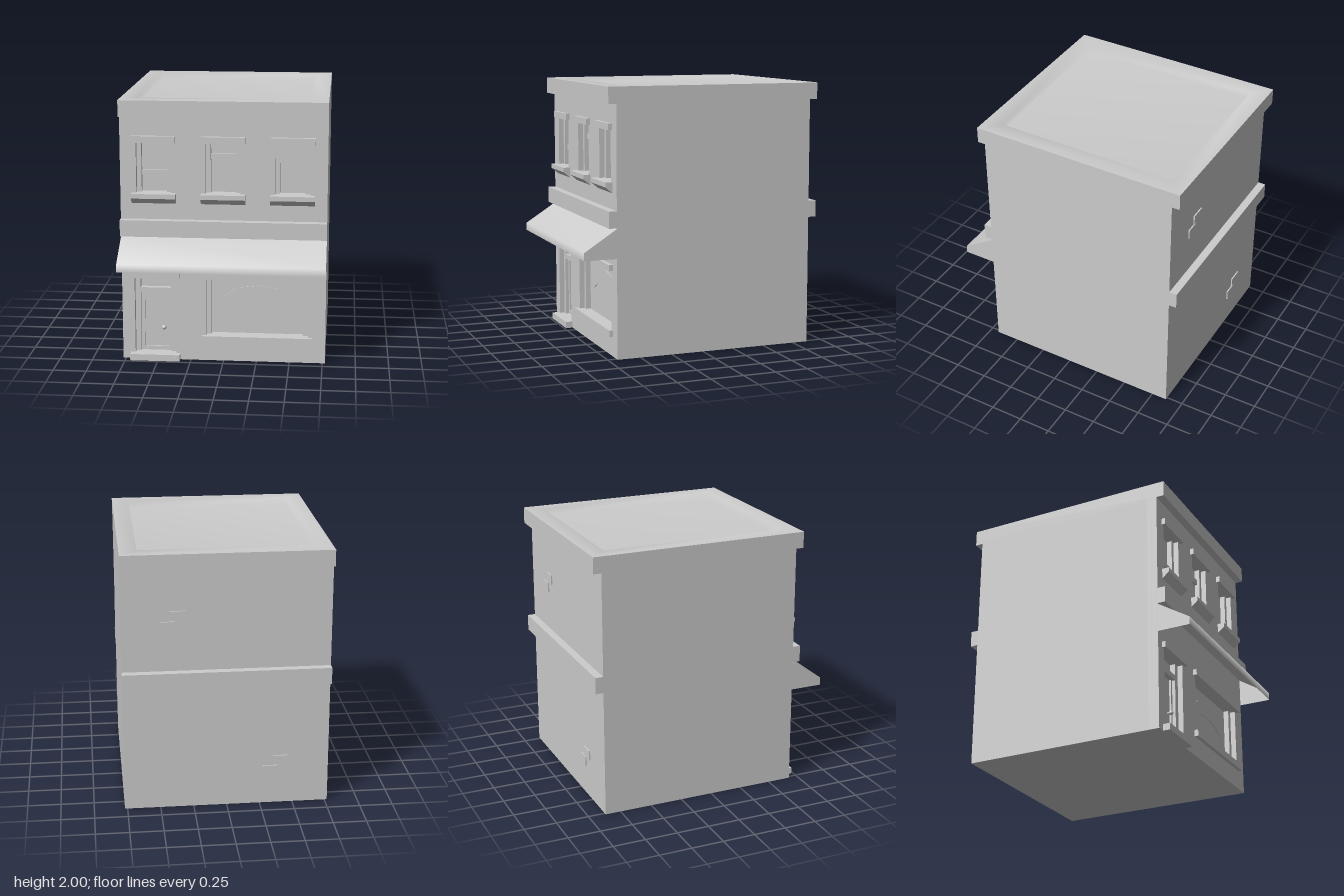
import * as THREE from 'three';

const plaster = new THREE.MeshStandardMaterial({ color: 0xcccccc });
plaster.name = 'light grey plaster';
const shell = new THREE.MeshStandardMaterial({ color: 0xcccccc, side: THREE.DoubleSide });
shell.name = 'light grey plaster';

const W = 0.77, BACK = -0.87, FRONT = 0.68, FRAME = 0.64, GLASS = 0.6;

function rect(PathType, x0, x1, y0, y1) {
  const p = new PathType();
  p.moveTo(x0, y0);
  p.lineTo(x1, y0);
  p.lineTo(x1, y1);
  p.lineTo(x0, y1);
  p.closePath();
  return p;
}

export function createModel() {
  const model = new THREE.Group();
  model.name = 'shopBuilding';

  function add(name, geometry, material = plaster) {
    const mesh = new THREE.Mesh(geometry, material);
    mesh.name = name;
    model.add(mesh);
    return mesh;
  }
  // Box given by its limits on each axis
  function box(name, x0, x1, y0, y1, z0, z1) {
    const mesh = add(name, new THREE.BoxGeometry(x1 - x0, y1 - y0, z1 - z0));
    mesh.position.set((x0 + x1) / 2, (y0 + y1) / 2, (z0 + z1) / 2);
  }
  // Wall layer pierced by rectangular openings
  function piercedWall(name, z0, z1, openings) {
    const shape = rect(THREE.Shape, -W, W, 0, 1.9);
    openings.forEach((o) => shape.holes.push(rect(THREE.Path, ...o)));
    const g = new THREE.ExtrudeGeometry(shape, { depth: z1 - z0, bevelEnabled: false });
    add(name, g.translate(0, 0, z0));
  }
  // Smooth indexed surface
  function surface(name, points, index, material) {
    const g = new THREE.BufferGeometry();
    g.setAttribute('position', new THREE.Float32BufferAttribute(points.flat(), 3));
    g.setIndex(index);
    g.computeVertexNormals();
    return add(name, g, material);
  }
  // (z, y) profile swept along x
  function sweepX(name, profile, x0, x1) {
    const shape = new THREE.Shape(profile.map(([z, y]) => new THREE.Vector2(-z, y)));
    const g = new THREE.ExtrudeGeometry(shape, { depth: x1 - x0, bevelEnabled: false });
    add(name, g.rotateY(Math.PI / 2).translate(x0, 0, 0));
  }

  // Main block and the two stepped layers of the facade
  const windows = [-0.52, -0.002, 0.512];
  box('buildingBlock', -W, W, 0, 1.9, BACK, GLASS);
  piercedWall('frontWall', FRAME, FRONT, [
    ...windows.map((x) => [x - 0.13, x + 0.13, 1.3, 1.68]),
    [-0.675, -0.36, 0.05, 0.645],
    [-0.13, 0.64, 0.2, 0.645],
  ]);
  piercedWall('openingFrames', GLASS, FRAME, [
    ...windows.map((x) => [x - 0.095, x + 0.095, 1.3, 1.68]),
    [-0.635, -0.405, 0.555, 0.645],
    [-0.635, -0.405, 0.05, 0.515],
    [-0.095, 0.6, 0.2, 0.645],
  ]);

  // Upper windows: lintel and chamfered sill
  windows.forEach((x) => {
    box('windowLintel', x - 0.165, x + 0.165, 1.68, 1.73, FRONT - 0.02, 0.71);
    sweepX('windowSill', [[0.67, 1.3], [0.67, 1.22], [0.68, 1.22], [0.735, 1.265], [0.735, 1.3]],
      x - 0.165, x + 0.165);
  });
  box('sashBar', -0.615, -0.425, 1.425, 1.46, GLASS, 0.62);
  box('sashBar', -0.097, 0.093, 1.55, 1.59, GLASS, 0.62);

  // Doorway
  box('doorLintel', -0.71, -0.33, 0.645, 0.69, FRONT - 0.02, 0.71);
  box('doorStep', -0.71, -0.33, 0, 0.05, FRONT - 0.02, 0.735);
  const door = rect(THREE.Shape, -0.635, -0.405, 0.05, 0.515);
  door.holes.push(rect(THREE.Path, -0.608, -0.425, 0.08, 0.514));
  add('doorStiles', new THREE.ExtrudeGeometry(door, { depth: 0.015, bevelEnabled: false }))
    .position.z = GLASS;
  add('doorKnob', new THREE.SphereGeometry(0.017, 16, 12)).position.set(-0.46, 0.237, 0.63);
  const stem = add('doorKnobStem', new THREE.CylinderGeometry(0.008, 0.008, 0.03, 12));
  stem.rotation.x = Math.PI / 2;
  stem.position.set(-0.46, 0.237, 0.61);

  // Shop window with a blank arched panel
  box('shopLintel', -0.165, 0.675, 0.645, 0.69, FRONT - 0.02, 0.71);
  box('shopSill', -0.165, 0.675, 0.15, 0.2, FRONT - 0.02, 0.71);
  const arch = new THREE.Shape([
    [-0.03, 0.475], [0.01, 0.39], [0.1, 0.44], [0.255, 0.465], [0.4, 0.44], [0.5, 0.39],
    [0.54, 0.475], [0.405, 0.558], [0.255, 0.577], [0.1, 0.558],
  ].map(([x, y]) => new THREE.Vector2(x, y)));
  add('archedPanel', new THREE.ExtrudeGeometry(arch, { depth: 0.006, bevelEnabled: false }))
    .position.z = GLASS;

  // Bands across the front and back
  box('frontBand', -W, W, 0.975, 1.1, FRONT - 0.02, 0.74);
  box('backBand', -W, W, 0.975, 1.1, -0.93, BACK + 0.02);

  // Cornice ring
  const ring = rect(THREE.Shape, -W, W, -0.74, 0.93);
  ring.holes.push(rect(THREE.Path, -0.645, 0.645, -0.605, 0.805));
  const cornice = new THREE.ExtrudeGeometry(ring, { depth: 0.124, bevelEnabled: false });
  add('cornice', cornice.rotateX(-Math.PI / 2).translate(0, 1.875, 0));

  // Softly shaded roof: rim, short parapet and sunken floor
  const loop = (x, z0, z1, y) => [[-x, y, z0], [-x, y, z1], [x, y, z1], [x, y, z0]];
  const roof = [
    ...loop(W, -0.93, 0.74, 2),
    ...loop(0.64, -0.8, 0.6, 2),
    ...loop(0.635, -0.795, 0.595, 1.95),
  ];
  const faces = [8, 9, 10, 8, 10, 11];
  for (let r = 0; r < 2; r++) {
    for (let i = 0; i < 4; i++) {
      const a = r * 4 + i, b = r * 4 + ((i + 1) % 4);
      faces.push(a, b, b + 4, a, b + 4, a + 4);
    }
  }
  surface('roof', roof, faces);

  // Hollow awning with a soft fold above its lip
  const profile = [[FRONT, 0.97], [0.93, 0.81], [0.93, 0.75]];
  surface('awning', profile.flatMap(([z, y]) => [[-W, y, z], [W, y, z]]),
    [0, 2, 3, 0, 3, 1, 2, 4, 5, 2, 5, 3], shell);
  for (const x of [-W, W]) {
    const end = [...profile, [FRONT, 0.75]].map(([z, y]) => [x, y, z]);
    surface('awningEnd', end, x > 0 ? [0, 2, 1, 0, 3, 2] : [0, 1, 2, 0, 2, 3], shell);
  }

  // Pairs of raised bricks on the back wall
  for (const [x, y] of [[0.415, 1.485], [-0.35, 0.315]]) {
    box('raisedBrick', x - 0.115, x, y, y + 0.075, BACK - 0.01, BACK + 0.01);
    box('raisedBrick', x - 0.035, x + 0.075, y - 0.08, y - 0.005, BACK - 0.01, BACK + 0.01);
  }

  return model;
}
